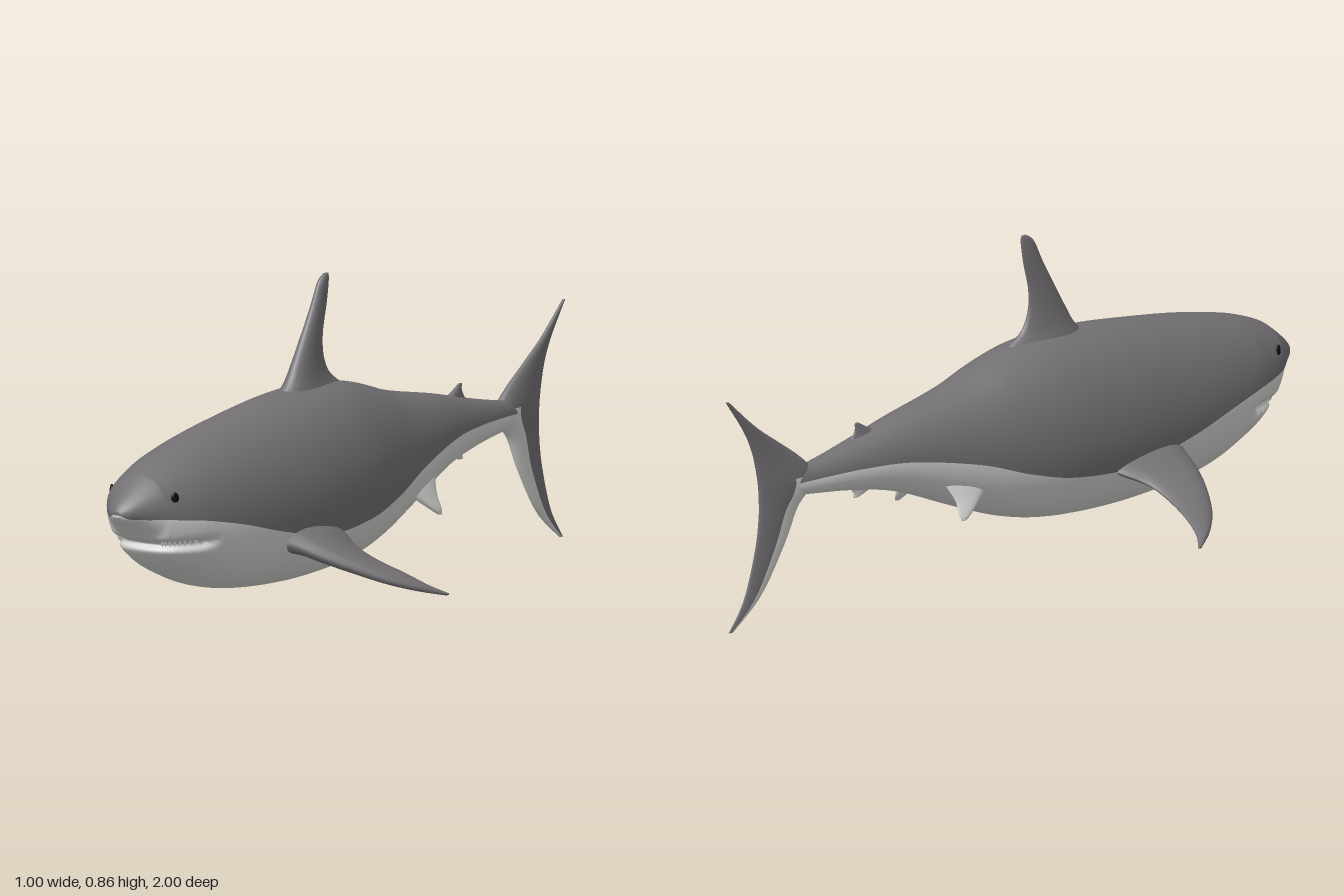
import * as THREE from 'three';

const mat = (name, color) => Object.assign(new THREE.MeshStandardMaterial({ color }), { name });

// Smooth interpolation through a list of number rows, t from 0 to 1
function sample(rows, t) {
  const f = t * (rows.length - 1), i = Math.min(Math.floor(f), rows.length - 2), u = f - i;
  const row = k => rows[Math.max(0, Math.min(rows.length - 1, k))];
  const [a, b, c, d] = [row(i - 1), row(i), row(i + 1), row(i + 2)];
  return b.map((_, k) => b[k] + 0.5 * u * (c[k] - a[k] + u * (2 * a[k] - 5 * b[k] + 4 * c[k] - d[k]
    + u * (3 * (b[k] - c[k]) + d[k] - a[k]))));
}
const resample = (rows, n) => Array.from({ length: n + 1 }, (_, i) => sample(rows, i / n));

// Skin over closed rings; pick(row, column) chooses the material index
function loft(name, rings, materials, pick = () => 0) {
  const centre = ring => {
    const c = new THREE.Vector3();
    ring.forEach(p => c.addScaledVector(p, 1 / ring.length));
    return ring.map(() => c);
  };
  const all = [centre(rings[0]), ...rings, centre(rings[rings.length - 1])];
  const n = rings[0].length, pts = all.flat(), tris = materials.map(() => []);
  let volume = 0;
  for (let r = 0; r < all.length - 1; r++) {
    for (let c = 0; c < n; c++) {
      const a = r * n + c, b = r * n + (c + 1) % n;
      for (const t of [[a, b, a + n], [b, b + n, a + n]]) {
        volume += pts[t[0]].dot(pts[t[1]].clone().cross(pts[t[2]]));
        tris[pick(r, c)].push(t);
      }
    }
  }
  const geo = new THREE.BufferGeometry().setFromPoints(pts);
  const index = [];
  tris.forEach((list, m) => {
    geo.addGroup(index.length, list.length * 3, m);
    list.forEach(t => index.push(...(volume < 0 ? [t[0], t[2], t[1]] : t)));
  });
  geo.setIndex(index);
  geo.computeVertexNormals();
  const mesh = new THREE.Mesh(geo, materials);
  mesh.name = name;
  return mesh;
}

// Fin section between leading and trailing points, rounded in front and thin behind
const FIN_SIDES = 20;
function finRing(lead, trail, thickness) {
  const mid = lead.clone().add(trail).multiplyScalar(0.5), half = lead.clone().sub(mid);
  return Array.from({ length: FIN_SIDES }, (_, i) => {
    const a = (i + 0.5) / FIN_SIDES * Math.PI * 2;
    return mid.clone().addScaledVector(half, Math.cos(a))
      .addScaledVector(thickness, Math.sin(a) * (0.8 + 0.25 * Math.cos(a)));
  });
}

// Upright fin from rows of [y, front z, back z, half thickness, x]
const uprightFin = (name, rows, materials, pick, steps = 24) =>
  loft(name, resample(rows, steps).map(([y, z0, z1, t, x = 0]) => finRing(
    new THREE.Vector3(x, y, z0), new THREE.Vector3(x, y, z1), new THREE.Vector3(t, 0, 0))), materials, pick);

// Body stations: [z, top y, bottom y, half width, colour border y]
const STATIONS = [
  [1, 0.375, 0.36, 0.012, 0.366], [0.985, 0.395, 0.345, 0.035, 0.356], [0.95, 0.425, 0.325, 0.065, 0.352],
  [0.91, 0.455, 0.29, 0.095, 0.35], [0.89, 0.466, 0.255, 0.107, 0.348], [0.85, 0.482, 0.215, 0.125, 0.343],
  [0.78, 0.503, 0.175, 0.146, 0.333], [0.65, 0.53, 0.125, 0.168, 0.305], [0.5, 0.552, 0.1, 0.182, 0.265],
  [0.3, 0.575, 0.09, 0.191, 0.225], [0.1, 0.58, 0.1, 0.183, 0.235], [-0.05, 0.555, 0.13, 0.16, 0.27],
  [-0.2, 0.51, 0.185, 0.128, 0.32], [-0.4, 0.47, 0.265, 0.086, 0.36], [-0.55, 0.435, 0.3, 0.058, 0.368],
  [-0.7, 0.405, 0.32, 0.033, 0.365], [-0.8, 0.4, 0.33, 0.016, 0.36],
];
const UPPER = 14, LOWER = 22, HALF = UPPER + LOWER, MOUTH_Y = 0.274;

const middle = ([, top, bottom]) => bottom + 0.47 * (top - bottom);
function angleAt(s, y) {
  const c = middle(s), r = y > c ? s[1] - c : c - s[2];
  return Math.acos(THREE.MathUtils.clamp((y - c) / r, -1, 1));
}
function sectionPoint(s, a) {
  const c = middle(s), cos = Math.cos(a), sin = Math.max(0, Math.sin(a));
  return new THREE.Vector3(s[3] * (cos < 0 ? Math.pow(sin, 0.8) : sin),
    c + cos * (cos > 0 ? s[1] - c : c - s[2]), s[0]);
}
// Point on the left flank at a given z and y
function flank(z, y) {
  let lo = 0, hi = 1;
  for (let i = 0; i < 30; i++) {
    const m = (lo + hi) / 2;
    if (sample(STATIONS, m)[0] > z) lo = m; else hi = m;
  }
  const s = sample(STATIONS, lo);
  return sectionPoint(s, angleAt(s, y));
}

// Ring whose columns meet the colour border exactly, with a groove for the mouth
function bodyRing(s) {
  const border = angleAt(s, s[4]), left = [];
  for (let j = 0; j <= HALF; j++) {
    const a = j <= UPPER ? border * j / UPPER : border + (Math.PI - border) * (j - UPPER) / LOWER;
    const p = sectionPoint(s, a);
    if (j > UPPER && s[0] > 0.74) {
      const g = Math.exp(-(((p.y - MOUTH_Y) / 0.011) ** 2)) * Math.min(1, (s[0] - 0.74) / 0.06);
      p.x *= 1 - 0.12 * g;
      p.z -= 0.025 * g;
    }
    left.push(p);
  }
  const right = left.slice(1, HALF).reverse().map(p => new THREE.Vector3(-p.x, p.y, p.z));
  return [...left, ...right];
}

export function createModel() {
  const grey = mat('slate grey skin', 0x737074);
  const pale = mat('pale belly', 0xd6d6d4);
  const black = mat('black eye', 0x0c0c0c);
  const model = new THREE.Group();
  model.name = 'shark';

  // Body with grey back and pale belly
  model.add(loft('body', resample(STATIONS, 144).map(bodyRing), [grey, pale],
    (r, c) => (c < UPPER || c >= 2 * HALF - UPPER ? 0 : 1)));

  // Fins on the centre line
  model.add(uprightFin('dorsalFin', [
    [0.5, 0.3, -0.06, 0.07], [0.56, 0.27, 0, 0.052], [0.6, 0.235, 0.055, 0.038], [0.65, 0.205, 0.08, 0.028],
    [0.71, 0.17, 0.082, 0.021], [0.78, 0.13, 0.065, 0.016], [0.84, 0.1, 0.055, 0.012], [0.86, 0.075, 0.056, 0.006],
  ], [grey]));
  model.add(uprightFin('secondDorsalFin', [
    [0.425, -0.43, -0.56, 0.02], [0.455, -0.49, -0.54, 0.01], [0.475, -0.525, -0.54, 0.004]], [grey], undefined, 8));
  model.add(uprightFin('analFin', [
    [0.315, -0.43, -0.57, 0.02], [0.29, -0.485, -0.545, 0.01], [0.275, -0.525, -0.545, 0.004]], [pale], undefined, 8));

  // Crescent tail, pale along the front of its lower lobe
  const tail = [
    [0.625, -0.99, -1, 0.004], [0.54, -0.895, -0.94, 0.009], [0.48, -0.81, -0.91, 0.013],
    [0.43, -0.74, -0.895, 0.02], [0.38, -0.69, -0.885, 0.028], [0.34, -0.7, -0.882, 0.027],
    [0.295, -0.745, -0.882, 0.021], [0.205, -0.79, -0.895, 0.015], [0.08, -0.875, -0.935, 0.01],
    [0, -0.975, -0.99, 0.004],
  ];
  model.add(uprightFin('tailFin', tail, [grey, pale], (r, c) => {
    const front = Math.cos((c + 1) / FIN_SIDES * Math.PI * 2) > 0.25;
    return front && r > 18 ? 1 : 0;
  }, 40));

  // Pectoral rows: [x, front z, front y, back z, back y, half thickness]
  const pectoral = [
    [0.12, 0.5, 0.235, 0.21, 0.235, 0.055], [0.19, 0.47, 0.222, 0.24, 0.217, 0.04],
    [0.25, 0.45, 0.2, 0.275, 0.195, 0.031], [0.32, 0.415, 0.172, 0.28, 0.168, 0.024],
    [0.4, 0.36, 0.137, 0.265, 0.14, 0.017], [0.46, 0.295, 0.112, 0.245, 0.112, 0.011],
    [0.5, 0.228, 0.092, 0.215, 0.092, 0.004],
  ];
  for (const s of [1, -1]) {
    const side = s > 0 ? 'left' : 'right';
    model.add(loft(side + 'PectoralFin', resample(pectoral, 28).map(([x, z0, y0, z1, y1, t]) => finRing(
      new THREE.Vector3(s * x, y0, z0), new THREE.Vector3(s * x, y1, z1),
      new THREE.Vector3(s * t * 0.3, t, 0))), [grey]));
    model.add(uprightFin(side + 'PelvicFin', [
      [0.28, -0.13, -0.3, 0.022, s * 0.085], [0.235, -0.185, -0.28, 0.014, s * 0.106],
      [0.2, -0.235, -0.28, 0.009, s * 0.121], [0.185, -0.26, -0.275, 0.004, s * 0.126]], [pale], undefined, 12));

    // Eye
    const eye = new THREE.Mesh(new THREE.SphereGeometry(1, 16, 12), black);
    eye.name = side + 'Eye';
    eye.scale.set(0.005, 0.016, 0.012);
    eye.position.copy(flank(0.88, 0.403));
    eye.position.x *= s;
    eye.rotation.y = -s * 0.46;
    model.add(eye);

    // Small teeth along the mouth groove
    for (let i = 0; i < 8; i++) {
      const p = flank(0.893 - 0.075 * (i / 7) ** 1.5, MOUTH_Y + 0.004);
      const tooth = new THREE.Mesh(new THREE.ConeGeometry(0.006, 0.016, 5), pale);
      tooth.name = side + 'Tooth';
      tooth.position.set(s * p.x * 0.93, p.y, p.z - 0.008);
      tooth.rotation.x = Math.PI;
      model.add(tooth);
    }
  }
  return model;
}
